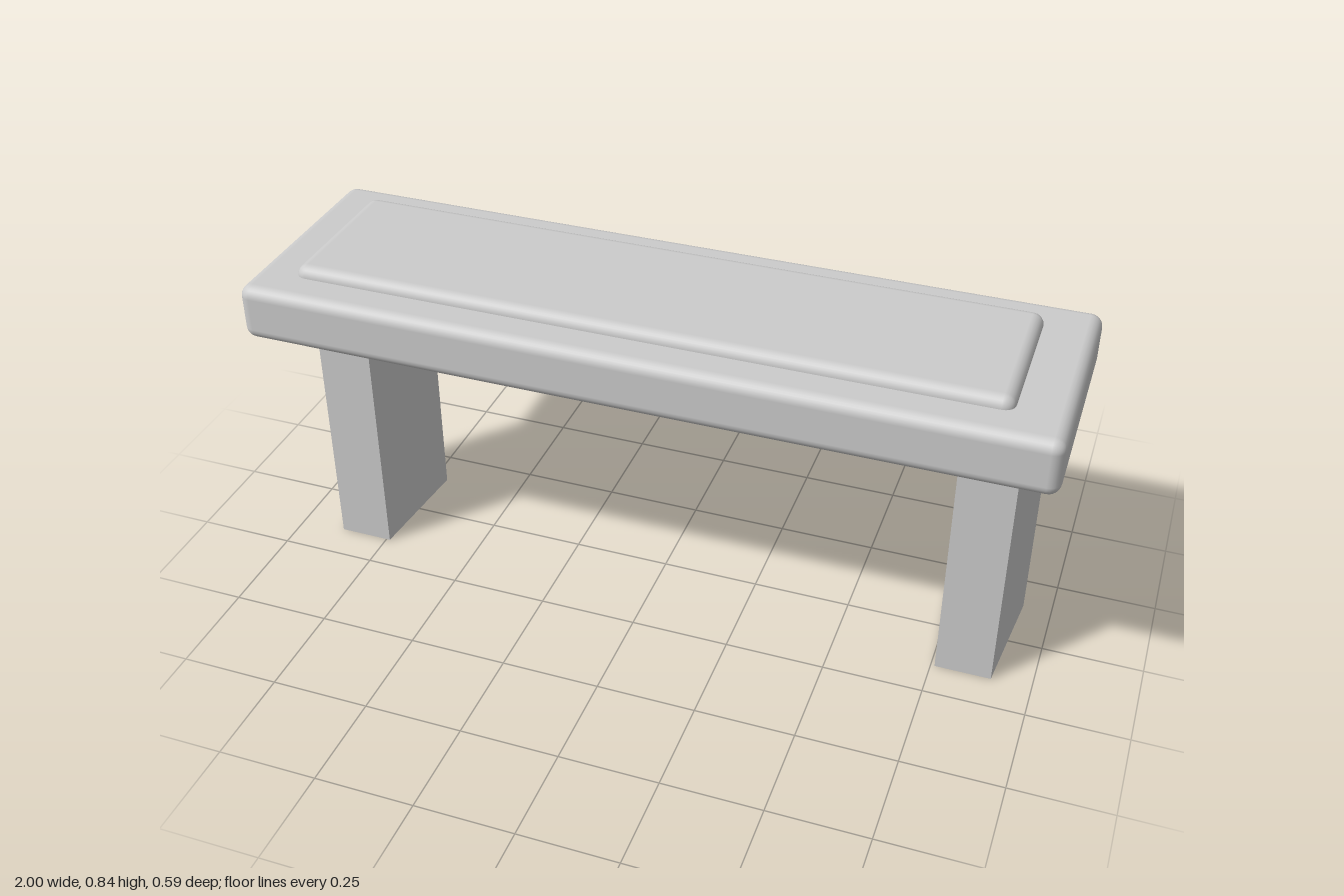
import * as THREE from 'three';
import { RoundedBoxGeometry } from 'three/addons/geometries/RoundedBoxGeometry.js';

export function createModel() {
  const group = new THREE.Group();
  const smooth = new THREE.MeshStandardMaterial({ color: 0xcccccc });
  const flat = new THREE.MeshStandardMaterial({ color: 0xcccccc, flatShading: true });

  const add = (name, geometry, material, x, y, z) => {
    const mesh = new THREE.Mesh(geometry, material);
    mesh.name = name;
    mesh.position.set(x, y, z);
    group.add(mesh);
    return mesh;
  };

  // Thick seat slab with softened edges
  add('seatSlab', new RoundedBoxGeometry(2, 0.145, 0.59, 3, 0.03), smooth, 0, 0.7425, 0);

  // Raised pad, its lower half sunk into the slab
  add('seatPad', new RoundedBoxGeometry(1.765, 0.06, 0.41, 3, 0.029), smooth, -0.01, 0.812, -0.003);

  // Legs: trapezoid in plan, narrower at the front than at the back
  const plan = new THREE.Shape([
    new THREE.Vector2(-0.07, -0.153),
    new THREE.Vector2(0.07, -0.153),
    new THREE.Vector2(0.098, 0.148),
    new THREE.Vector2(-0.098, 0.148),
  ]);
  const legGeometry = new THREE.ExtrudeGeometry(plan, { depth: 0.68, bevelEnabled: false });
  legGeometry.rotateX(-Math.PI / 2);
  add('rightLeg', legGeometry, flat, -0.81, 0, 0);
  add('leftLeg', legGeometry, flat, 0.83, 0, 0);

  return group;
}
